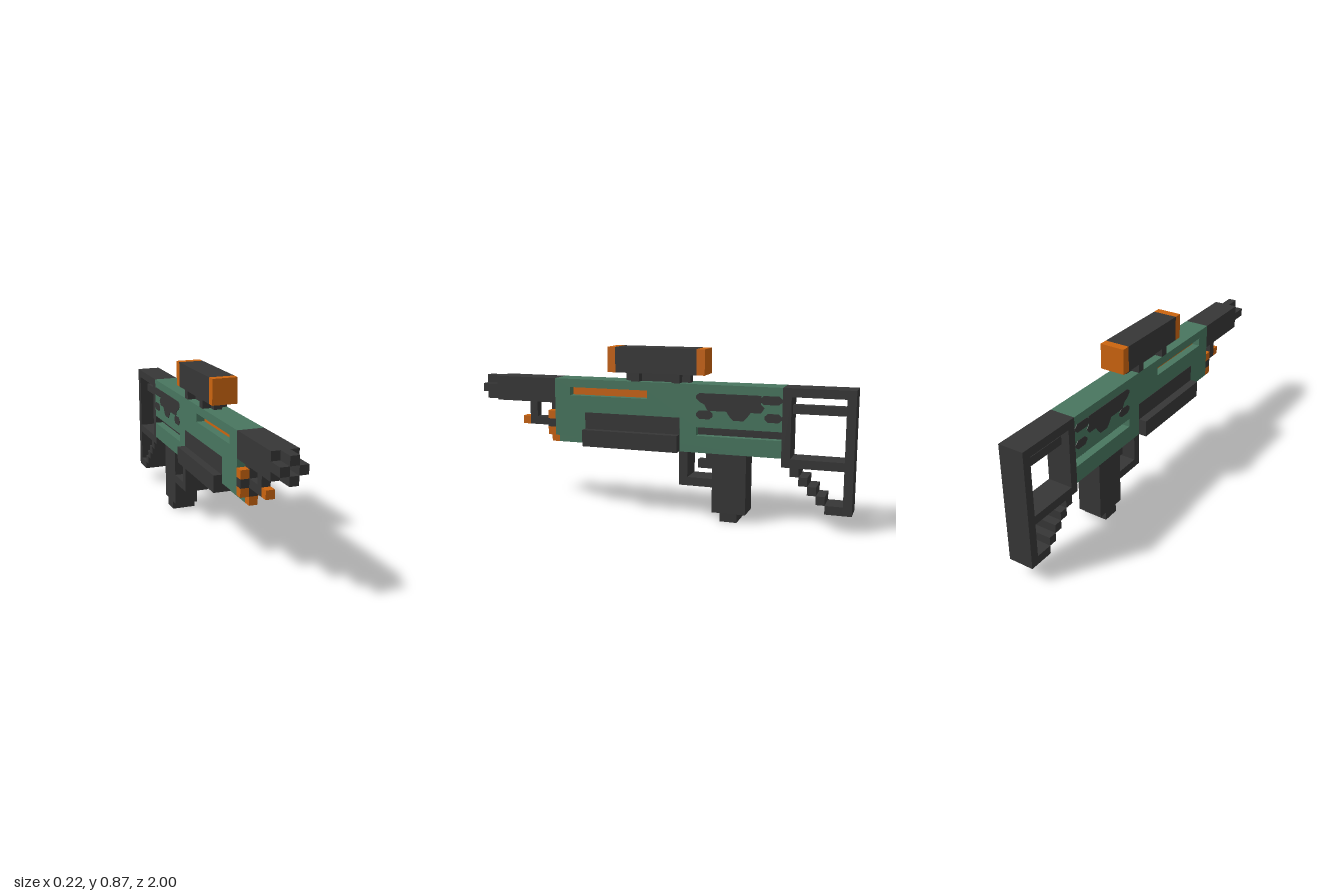
import * as THREE from 'three';

const U = 2 / 46; // one block

export function createModel() {
  const model = new THREE.Group();
  model.name = 'blockRifle';
  const material = (name, color) => {
    const m = new THREE.MeshStandardMaterial({ color });
    m.name = name;
    return m;
  };
  const dark = material('charcoal', 0x363636);
  const green = material('green', 0x48765f);
  const orange = material('orange', 0xcb640f);

  const add = (name, geometry, mat) => {
    const mesh = new THREE.Mesh(geometry, mat);
    mesh.name = name;
    model.add(mesh);
  };
  // Box in block units: k runs from the muzzle to the stock, j up, i across
  const box = (name, mat, k0, k1, j0, j1, i0 = -1.5, i1 = 1.5) => {
    const g = new THREE.BoxGeometry((i1 - i0) * U, (j1 - j0) * U, (k1 - k0) * U);
    g.translate((i0 + i1) / 2 * U, (j0 + j1) / 2 * U, 1 - (k0 + k1) / 2 * U);
    add(name, g, mat);
  };
  // Side outline in (k, j), extruded across from i0
  const slab = (name, mat, points, i0, depth, hole) => {
    const toPath = (p) => p.map(([k, j]) => new THREE.Vector2(k, j));
    const shape = new THREE.Shape(toPath(points));
    if (hole) shape.holes.push(new THREE.Path(toPath(hole)));
    const g = new THREE.ExtrudeGeometry(shape, { depth, bevelEnabled: false });
    g.rotateY(Math.PI / 2).translate(i0, 0, 0).scale(U, U, U).translate(0, 0, 1);
    add(name, g, mat);
  };

  // Barrel with four prongs around an open bore
  box('barrel', dark, 2, 10, 13, 16);
  box('topProng', dark, 0, 2, 15, 16, -0.5, 0.5);
  box('bottomProng', dark, 0, 2, 13, 14, -0.5, 0.5);
  for (const s of [-1, 1]) box('sideProng', dark, 0, 2, 14, 15, s - 0.5, s + 0.5);

  // Body: core layer and two side panels with grooves
  box('bodyCore', green, 10, 38, 8, 16, -0.5, 0.5);
  box('orangeInlay', orange, 12, 22, 14, 15, -0.53, 0.53);
  box('darkInlay', dark, 28, 38, 10, 11, -0.53, 0.53);
  const panel = [[10, 9], [26, 9], [26, 8], [38, 8], [38, 10], [28, 10],
    [28, 11], [38, 11], [38, 16], [10, 16]];
  const groove = [[12, 14], [12, 15], [22, 15], [22, 14]];
  for (const i of [-1.5, 0.5]) slab('sidePanel', green, panel, i, 1, groove);

  // Camouflage patches, thin plates on both sides
  const blob = (k0, k1, j) => [[k0, j + 0.35], [k0 + 0.4, j], [k1 - 0.4, j], [k1, j + 0.35],
    [k1, j + 0.65], [k1 - 0.4, j + 1], [k0 + 0.4, j + 1], [k0, j + 0.65]];
  const patches = [
    [[28, 14.4], [28.4, 14], [29, 13.7], [29.4, 13], [31.6, 13], [32, 12.4], [32.4, 12],
      [33.6, 12], [34, 12.4], [34.4, 13], [35.6, 13], [36, 13.6], [35.6, 14], [35.6, 15],
      [28.4, 15], [28, 14.7]],
    blob(28, 30, 12), blob(36, 38, 12), blob(35.5, 38, 14),
  ];
  for (const s of [-1, 1]) {
    for (const p of patches) slab('camoPatch', dark, p, s * 1.5 - 0.05, 0.1);
  }

  // Handguard
  box('handguard', dark, 14, 26, 8, 10, -2.5, 2.5);
  box('handguardUpper', dark, 14, 26, 10, 12, -1.54, 1.54);

  // Front plate and rod under the barrel
  for (const s of [-1, 1]) {
    box('frontAccent', orange, 9, 10, 11, 12, s - 0.5, s + 0.5);
    box('frontBlock', dark, 9, 10, 10, 11, s - 0.5, s + 0.5);
    box('frontAccent', orange, 9, 10, 9, 10, s - 0.5, s + 0.5);
  }
  box('frontCentre', dark, 9, 10, 9, 13, -0.5, 0.5);
  box('lowerAccent', orange, 9, 10, 8, 9, -0.5, 0.5);
  box('rod', dark, 6, 9, 10, 11, -0.5, 0.5);
  box('rodPost', dark, 6, 7, 11, 13, -0.5, 0.5);
  box('rodTip', orange, 5, 6, 10, 11, -0.5, 0.5);

  // Scope on its rail
  box('scopeRail', dark, 19, 27, 16, 17, -0.5, 0.5);
  for (const k of [20, 25]) box('scopeMount', dark, k, k + 1, 16, 17);
  box('scopeTube', dark, 18, 28, 17, 20);
  for (const k of [17, 28]) box('scopeLens', orange, k, k + 1, 17, 20);

  // Trigger, guard and grip
  box('guardFront', dark, 26, 27, 4, 8);
  box('guardBottom', dark, 27, 30, 4, 5);
  box('trigger', dark, 28, 30, 6, 7, -0.5, 0.5);
  box('triggerTop', dark, 29, 30, 7, 8, -0.5, 0.5);
  box('grip', dark, 30, 34, 1, 8);
  box('gripFoot', dark, 31, 33, 0, 1);

  // Open stock with stepped brace
  box('stockTop', dark, 38, 46, 15, 16);
  box('stockFront', dark, 38, 39, 7, 15);
  box('stockBack', dark, 45, 46, 2, 15);
  box('stockUpperBar', dark, 39, 45, 13, 14, -0.5, 0.5);
  box('stockLowerBar', dark, 39, 45, 7, 8);
  for (let n = 0; n < 4; n++) box('stockStep', dark, 39 + n, 40 + n, 6 - n, 7 - n);
  box('stockToe', dark, 43, 45, 2, 3);

  return model;
}
